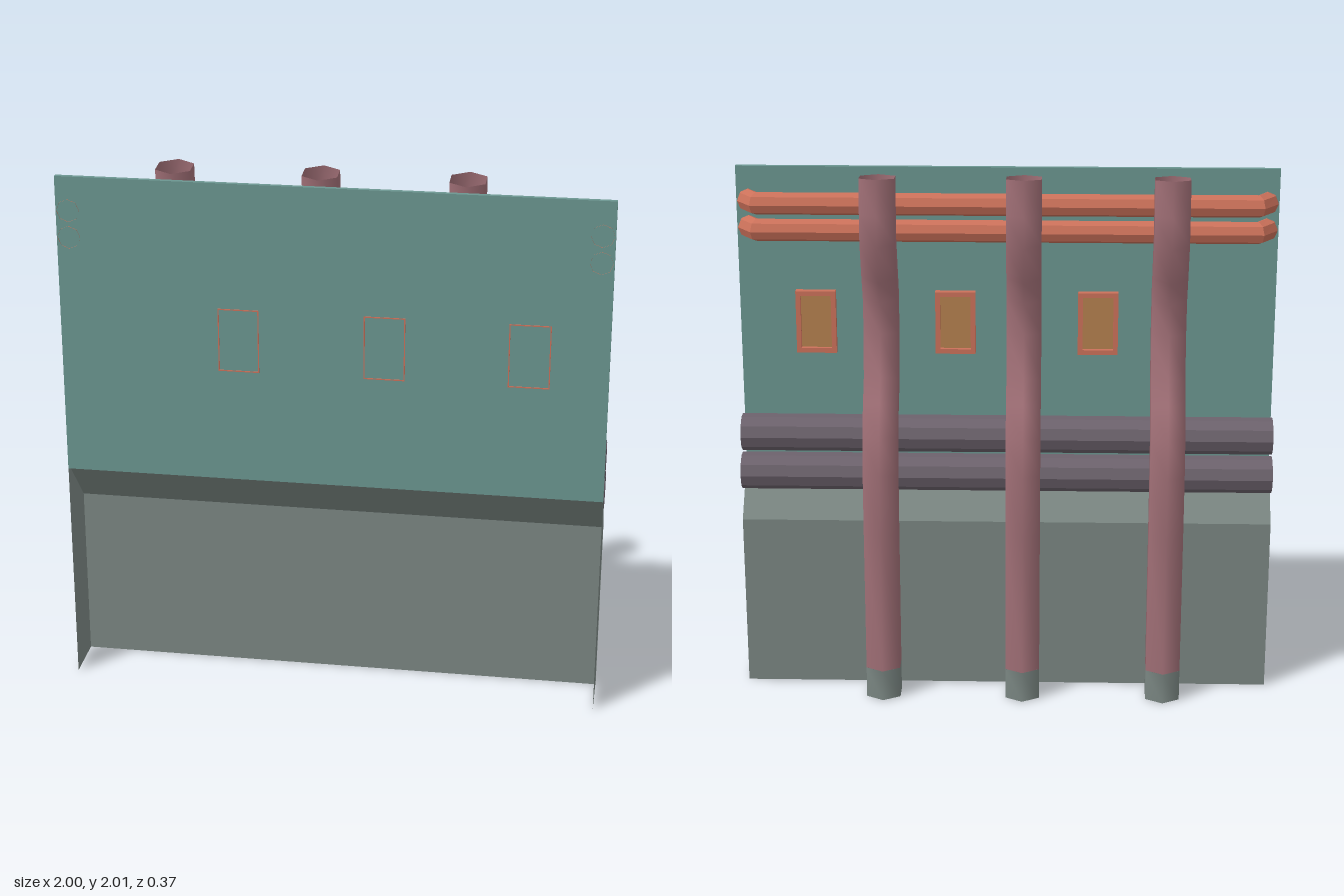
import * as THREE from 'three';

const mat = (name, color, extra = {}) => new THREE.MeshStandardMaterial({ name, color, side: THREE.DoubleSide, ...extra });

// Open tube swept along points lying in a plane at right angles to the axis
function sweep(points, radius, sides, axis) {
  const pos = [], index = [];
  points.forEach((p, i) => {
    const t = new THREE.Vector3();
    if (i > 0) t.add(p.clone().sub(points[i - 1]).normalize());
    if (i < points.length - 1) t.add(points[i + 1].clone().sub(p).normalize());
    const across = axis.clone().cross(t.normalize());
    for (let j = 0; j < sides; j++) {
      const a = (j / sides) * Math.PI * 2;
      const v = p.clone().addScaledVector(axis, radius * Math.sin(a)).addScaledVector(across, radius * Math.cos(a));
      pos.push(v.x, v.y, v.z);
      if (i === points.length - 1) continue;
      const k = (j + 1) % sides, r0 = i * sides, r1 = r0 + sides;
      index.push(r0 + j, r0 + k, r1 + j, r0 + k, r1 + k, r1 + j);
    }
  });
  const g = new THREE.BufferGeometry();
  g.setAttribute('position', new THREE.Float32BufferAttribute(pos, 3));
  g.setIndex(index);
  g.computeVertexNormals();
  return g;
}

// Rectangular border with a hole, extruded along z
function border(w, h, edge, depth) {
  const rect = (C, a, b) => new C([[-a, -b], [a, -b], [a, b], [-a, b]].map(([x, y]) => new THREE.Vector2(x, y)));
  const s = rect(THREE.Shape, w / 2, h / 2);
  s.holes.push(rect(THREE.Path, w / 2 - edge, h / 2 - edge));
  return new THREE.ExtrudeGeometry(s, { depth, bevelEnabled: false });
}

export function createModel() {
  const group = new THREE.Group();
  const teal = mat('teal panel', 0x6b9690);
  const grey = mat('grey casing', 0x7a8682);
  const copper = mat('copper', 0xcb715a, { flatShading: true });
  const tan = mat('tan plate', 0xb5804f);
  const rose = mat('rose pipe', 0xa06f76);
  const dark = mat('dark pipe', 0x6c626c, { flatShading: true });

  const add = (name, geometry, material, x = 0, y = 0, z = 0) => {
    const m = new THREE.Mesh(geometry, material);
    m.name = name;
    m.position.set(x, y, z);
    group.add(m);
    return m;
  };

  // Upper wall panel
  add('wallPanel', new THREE.BoxGeometry(2, 1.14, 0.018), teal, 0, 1.43, 0.172);

  // Lower casing: back plate, slope and two ends, open at the front and below
  add('casingBack', new THREE.PlaneGeometry(2, 0.67).rotateY(Math.PI), grey, 0, 0.335, -0.01);
  const rise = 0.19, run = 0.173;
  add('casingSlope', new THREE.PlaneGeometry(2, Math.hypot(rise, run)).rotateY(Math.PI).rotateX(Math.atan2(run, rise)),
    grey, 0, 0.765, 0.0765);
  const end = new THREE.Shape([[-0.183, 0], [0.01, 0], [0.01, 0.67], [-0.163, 0.86], [-0.183, 0.86]]
    .map(([x, y]) => new THREE.Vector2(x, y)));
  for (const s of [-1, 1]) add('casingEnd', new THREE.ShapeGeometry(end).rotateY(Math.PI / 2), grey, s * 0.999);

  // Two thick horizontal pipes
  for (const [y, z] of [[0.99, 0.087], [0.85, 0.047]])
    add('horizontalPipe', new THREE.CylinderGeometry(0.07, 0.07, 2, 10).rotateZ(Math.PI / 2), dark, 0, y, z);

  // Copper rails whose ends bend through the panel
  const half = [[0.955, 0.184], [0.955, 0.155], [0.922, 0.108]];
  const rail = [...half.map(([x, z]) => [-x, z]), ...half.slice().reverse()]
    .map(([x, z]) => new THREE.Vector3(x, 0, z));
  for (const y of [1.873, 1.773])
    add('copperRail', sweep(rail, 0.042, 8, new THREE.Vector3(0, 1, 0)), copper, 0, y);

  // Framed plates on the back, with a thin rim through the front
  for (const x of [-0.34, 0.193, 0.715]) {
    add('plateFrame', border(0.15, 0.24, 0.018, 0.028), copper, x, 1.41, 0.136);
    add('frameRim', border(0.15, 0.24, 0.004, 0.01), copper, x, 1.41, 0.174);
    add('framedPlate', new THREE.BoxGeometry(0.12, 0.21, 0.008), tan, x, 1.41, 0.157);
  }

  // Winding vertical pipes with a grey foot
  const path = [[0.12, -0.109], [0.67, -0.103], [0.9, -0.095], [1.03, -0.075], [1.13, -0.025], [1.22, 0.04],
    [1.4, 0.076], [1.54, 0.073], [1.64, 0.032], [1.77, -0.016], [1.87, -0.012], [2, 0]];
  const line = (pts) => pts.map(([y, z]) => new THREE.Vector3(0, y, z));
  const axis = new THREE.Vector3(1, 0, 0);
  for (const x of [-0.6, -0.065, 0.465]) {
    add('verticalPipe', sweep(line(path), 0.074, 6, axis), rose, x);
    add('pipeFoot', sweep(line([[0, -0.11], [0.12, -0.109]]), 0.074, 6, axis), grey, x);
    add('footCap', new THREE.CircleGeometry(0.074, 6, Math.PI / 2).rotateX(Math.PI / 2), grey, x, 0.001, -0.11);
  }
  return group;
}
